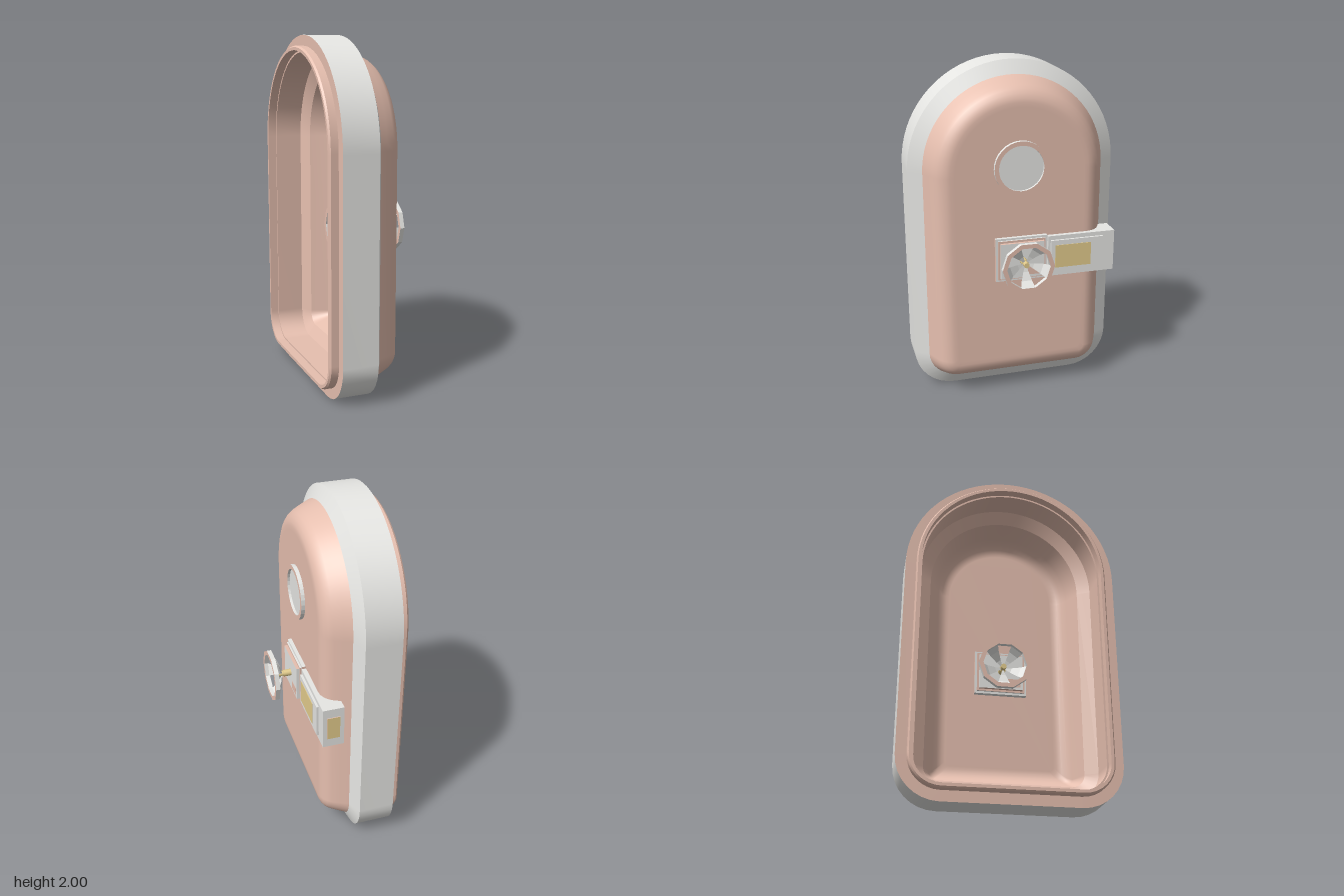
import * as THREE from 'three';

const grey = new THREE.MeshStandardMaterial({ color: 0xe7e7e4, side: THREE.DoubleSide });
const pink = new THREE.MeshStandardMaterial({ color: 0xe6bfaf });
const gold = new THREE.MeshStandardMaterial({ color: 0xe4cd8d });
grey.name = 'light grey';
pink.name = 'dusty pink';
gold.name = 'pale gold';

// Arched door outline, shrunk by inset, counter-clockwise seen from the outer side
function outline(inset) {
  const w = 0.615 - inset, b = inset, r = Math.max(0.24 - inset, 0.03), pts = [];
  const arc = (cx, cy, rad, a0, a1, n) => {
    for (let i = 0; i <= n; i++) {
      const a = THREE.MathUtils.degToRad(a0 + (a1 - a0) * i / n);
      pts.push(new THREE.Vector2(cx + rad * Math.cos(a), cy + rad * Math.sin(a)));
    }
  };
  arc(-w + r, b + r, r, 180, 270, 8);
  arc(w - r, b + r, r, 270, 360, 8);
  arc(0, 1.385, w, 0, 180, 36);
  return pts;
}

// Smooth band running through [depth, inset] rings
function band(profile) {
  const pos = [], idx = [], n = outline(0).length;
  for (const [z, inset] of profile) for (const p of outline(inset)) pos.push(p.x, p.y, z);
  for (let j = 0; j < profile.length - 1; j++) {
    for (let i = 0; i < n; i++) {
      const k = (i + 1) % n, a = j * n + i, b = j * n + k;
      idx.push(a, b, b + n, a, b + n, a + n);
    }
  }
  const g = new THREE.BufferGeometry();
  g.setAttribute('position', new THREE.Float32BufferAttribute(pos, 3));
  g.setIndex(idx);
  g.computeVertexNormals();
  return g;
}

function add(parent, name, geometry, material, x = 0, y = 0, z = 0) {
  const m = new THREE.Mesh(geometry, material);
  m.name = name;
  m.position.set(x, y, z);
  parent.add(m);
  return m;
}

// Box given by its limits
function box(parent, name, material, [x0, x1], [y0, y1], [z0, z1]) {
  return add(parent, name, new THREE.BoxGeometry(x1 - x0, y1 - y0, z1 - z0), material,
    (x0 + x1) / 2, (y0 + y1) / 2, (z0 + z1) / 2);
}

// Flat ring with n sides
function ring(n, outer, inner, depth) {
  const circle = (r) => Array.from({ length: n }, (_, i) =>
    new THREE.Vector2(r * Math.cos(i / n * 2 * Math.PI), r * Math.sin(i / n * 2 * Math.PI)));
  const s = new THREE.Shape(circle(outer));
  s.holes.push(new THREE.Path(circle(inner)));
  return new THREE.ExtrudeGeometry(s, { depth, bevelEnabled: false });
}

// Handwheel with its stepped mounting plate and shaft
function handwheel(name) {
  const g = new THREE.Group();
  g.name = name;
  box(g, 'basePlate', [pink, pink, grey, grey, grey, grey], [-0.155, 0.155], [0.745, 1.01], [0.1, 0.155]);
  box(g, 'plateStep', [pink, pink, grey, grey, pink, pink], [-0.142, 0.142], [0.758, 0.998], [0.155, 0.165]);
  box(g, 'topPlate', [grey, grey, pink, pink, grey, grey], [-0.13, 0.13], [0.77, 0.985], [0.165, 0.183]);
  box(g, 'platePatch', pink, [0.03, 0.115], [0.785, 0.835], [0.182, 0.185]);
  const wheel = new THREE.Group();
  wheel.name = 'wheel';
  wheel.position.y = 0.878;
  g.add(wheel);
  add(wheel, 'shaft', new THREE.CylinderGeometry(0.02, 0.02, 0.05, 12).rotateX(Math.PI / 2), gold, 0, 0, 0.204);
  add(wheel, 'hub', new THREE.CylinderGeometry(0.016, 0.016, 0.042, 12).rotateX(Math.PI / 2), gold, 0, 0, 0.248);
  add(wheel, 'wheelRim', ring(10, 0.154, 0.128, 0.026), [pink, grey], 0, 0, 0.286);
  // five curved wedge spokes
  const curve = [[0.012, 0.238], [0.05, 0.246], [0.1, 0.266], [0.13, 0.292]].map((p) => new THREE.Vector2(...p));
  for (let i = 0; i < 5; i++) {
    const start = THREE.MathUtils.degToRad(126 + 72 * i);
    const spoke = new THREE.LatheGeometry(curve, 1, start, Math.PI / 5).rotateX(Math.PI / 2).toNonIndexed();
    spoke.computeVertexNormals();
    add(wheel, 'spoke', spoke, grey);
  }
  return g;
}

export function createModel() {
  const model = new THREE.Group();
  model.name = 'hatchDoor';
  // Built facing +z, then turned to face +x
  const door = new THREE.Group();
  door.name = 'door';
  door.rotation.y = Math.PI / 2;
  model.add(door);

  // Grey surround with a chamfered outer edge and a pink back
  [[[-0.262, 0], [-0.055, 0]], [[-0.055, 0], [-0.015, 0.08]]]
    .forEach((p) => add(door, 'surround', band(p), grey));
  add(door, 'surroundBack', band([[-0.262, 0.06], [-0.262, 0]]), pink);

  // Domed outer panel
  add(door, 'outerPanel', band([[-0.015, 0.08], [0.03, 0.1], [0.077, 0.123], [0.1, 0.14], [0.118, 0.162],
    [0.129, 0.188], [0.133, 0.21], [0.133, 0.235]]), pink);
  const face = (inset) => new THREE.ShapeGeometry(new THREE.Shape(outline(inset)));
  add(door, 'outerPanelFace', face(0.235), pink, 0, 0, 0.133);

  // Hollow inside: domed pocket, sloping ledge and straight wall
  const back = add(door, 'innerPanelFace', face(0.3), pink, 0, 0, 0.106);
  back.rotation.y = Math.PI;
  add(door, 'innerPanel', band([[0.106, 0.3], [0.106, 0.28], [0.098, 0.253], [0.076, 0.228],
    [0.04, 0.207], [-0.065, 0.165]]), pink);
  [[[-0.065, 0.165], [-0.105, 0.095]], [[-0.105, 0.095], [-0.265, 0.095]]]
    .forEach((p) => add(door, 'innerWall', band(p), pink));

  // Thin rear rim
  [[[-0.265, 0.095], [-0.265, 0.085]], [[-0.265, 0.085], [-0.315, 0.085]], [[-0.315, 0.085], [-0.315, 0.068]],
    [[-0.315, 0.068], [-0.305, 0.06]], [[-0.305, 0.06], [-0.262, 0.06]]]
    .forEach((p) => add(door, 'rearRim', band(p), pink));

  // Round window
  add(door, 'windowRim', ring(32, 0.157, 0.132, 0.027), [pink, grey], 0, 1.42, 0.128);
  add(door, 'windowPane', new THREE.CircleGeometry(0.133, 32), grey, 0, 1.42, 0.14);

  // Handwheels, outside and inside
  door.add(handwheel('outerHandwheel'));
  const inner = handwheel('innerHandwheel');
  inner.rotation.y = Math.PI;
  inner.position.z = 0.232;
  door.add(inner);

  // Bolt housing with gold plates
  box(door, 'boltHousing', grey, [0.16, 0.57], [0.75, 1.0], [0.115, 0.16]);
  box(door, 'boltEnd', grey, [0.42, 0.57], [0.75, 1.0], [0.037, 0.115]);
  box(door, 'boltCover', grey, [0.175, 0.495], [0.78, 0.975], [0.16, 0.173]);
  box(door, 'coverPlate', gold, [0.2, 0.42], [0.805, 0.945], [0.17, 0.176]);
  box(door, 'endPlate', [gold, pink, pink, pink, pink, pink], [0.568, 0.575], [0.805, 0.945], [0.062, 0.135]);
  return model;
}
